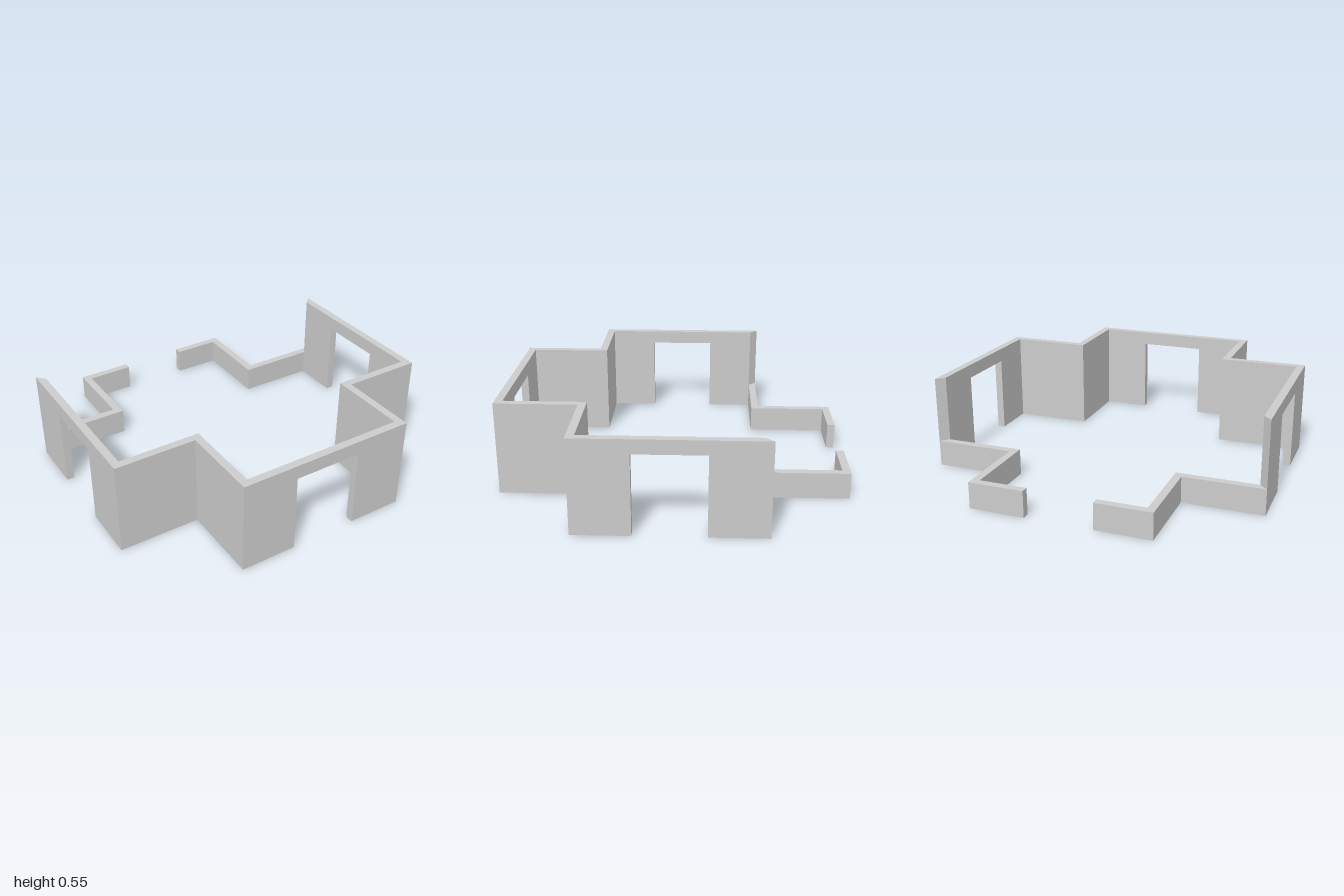
import * as THREE from 'three';

const T = 0.046;                       // wall thickness
const TALL = 0.547, LOW = 0.155;       // wall heights
const DOOR_HALF = 0.199, DOOR_TOP = 0.465;
const A = 0.527;                       // half width of each arm of the cross

const material = new THREE.MeshStandardMaterial({ color: 0xcccccc, flatShading: true });

// One wall panel, outer face on z = 0, inner edges slid along x to mitre the corners
function wallPanel(length, height, hasDoor, turnStart, turnEnd) {
  const shape = new THREE.Shape();
  shape.moveTo(0, 0);
  if (hasDoor) {
    const l = length / 2 - DOOR_HALF, r = length / 2 + DOOR_HALF;
    shape.lineTo(l, 0).lineTo(l, DOOR_TOP).lineTo(r, DOOR_TOP).lineTo(r, 0);
  }
  shape.lineTo(length, 0).lineTo(length, height).lineTo(0, height).closePath();

  const geometry = new THREE.ExtrudeGeometry(shape, { depth: T, bevelEnabled: false });
  geometry.translate(0, 0, -T);
  const p = geometry.attributes.position;
  for (let i = 0; i < p.count; i++) {
    if (p.getZ(i) > -T / 2) continue;
    if (p.getX(i) < 1e-4) p.setX(i, T * turnStart);
    else if (p.getX(i) > length - 1e-4) p.setX(i, length - T * turnEnd);
  }
  geometry.computeVertexNormals();
  return geometry;
}

export function createModel() {
  const group = new THREE.Group();
  group.name = 'crossShapedWalls';

  // Outer plan line [x, z], running from one side of the back gap round to the other
  const half = [[0.2, -1], [A, -1], [A, -A], [1, -A], [1, A], [A, A], [A, 1]];
  const path = [...half.map(([x, z]) => [-x, z]), ...[...half].reverse()]
    .map(([x, z]) => new THREE.Vector2(x, z));

  // +1 at an outward corner, -1 at an inward one, 0 at the free ends
  const turn = (i) => {
    if (i === 0 || i === path.length - 1) return 0;
    const d1 = path[i].clone().sub(path[i - 1]);
    const d2 = path[i + 1].clone().sub(path[i]);
    return Math.sign(d1.y * d2.x - d1.x * d2.y);
  };

  const names = ['backLowWall', 'backArmLowWall', 'backReturnLowWall', 'sideDoorWall',
    'frontReturnWall', 'frontArmWall', 'frontDoorWall'];
  const last = path.length - 2;
  for (let i = 0; i <= last; i++) {
    const kind = Math.min(i, last - i);
    const d = path[i + 1].clone().sub(path[i]);
    const length = d.length();
    const wall = new THREE.Mesh(
      wallPanel(length, kind < 3 ? LOW : TALL, length > 1, turn(i), turn(i + 1)), material);
    wall.position.set(path[i].x, 0, path[i].y);
    wall.rotation.y = Math.atan2(-d.y, d.x);
    const side = kind === 6 ? '' : i < last / 2 ? 'Right' : 'Left';
    wall.name = names[kind] + side;
    group.add(wall);
  }
  return group;
}
